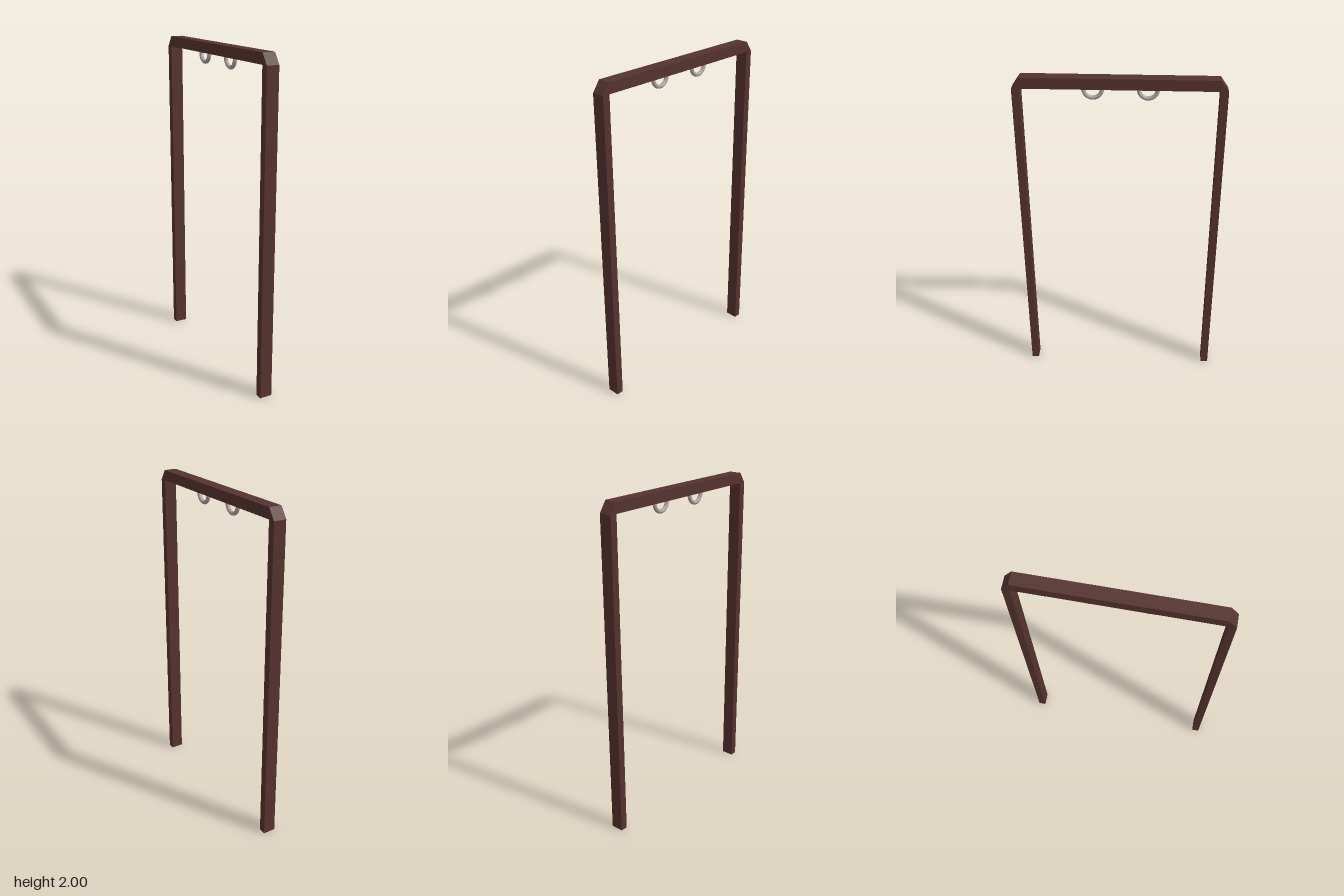
import * as THREE from 'three';

const WIDTH = 0.076;     // depth of the timber along x
const OUTER = 0.597;     // half span to the outside of the posts
const INNER = 0.553;     // half span to the inside of the posts
const BEAM_Y = 1.937;    // underside of the crossbeam

export function createModel() {
  const group = new THREE.Group();
  const wood = new THREE.MeshStandardMaterial({ color: 0x55332f, flatShading: true });
  const metal = new THREE.MeshStandardMaterial({ color: 0xb3a3a3 });

  // Two posts and a crossbeam with bevelled corners, as one outline
  const outline = new THREE.Shape([
    [-OUTER, 0], [-INNER, 0], [-INNER, BEAM_Y], [INNER, BEAM_Y], [INNER, 0],
    [OUTER, 0], [OUTER, BEAM_Y], [INNER, 2], [-INNER, 2], [-OUTER, BEAM_Y],
  ].map(([z, y]) => new THREE.Vector2(z, y)));
  const frameGeometry = new THREE.ExtrudeGeometry(outline, { depth: WIDTH, bevelEnabled: false });
  frameGeometry.translate(0, 0, -WIDTH / 2).rotateY(-Math.PI / 2);
  const frame = new THREE.Mesh(frameGeometry, wood);
  frame.name = 'frame';
  group.add(frame);

  // Half rings hanging under the crossbeam
  const ringGeometry = new THREE.TorusGeometry(0.052, 0.012, 12, 24, Math.PI);
  ringGeometry.rotateZ(Math.PI).rotateY(Math.PI / 2);
  [['frontRing', 0.15], ['backRing', -0.158]].forEach(([name, z]) => {
    const ring = new THREE.Mesh(ringGeometry, metal);
    ring.name = name;
    ring.position.set(0, BEAM_Y - 0.007, z);
    // short stubs carry the ring ends into the beam
    for (const side of [-1, 1]) {
      const stub = new THREE.Mesh(new THREE.CylinderGeometry(0.012, 0.012, 0.016, 12), metal);
      stub.name = 'ringEnd';
      stub.position.set(0, 0.008, side * 0.052);
      ring.add(stub);
    }
    group.add(ring);
  });

  return group;
}
